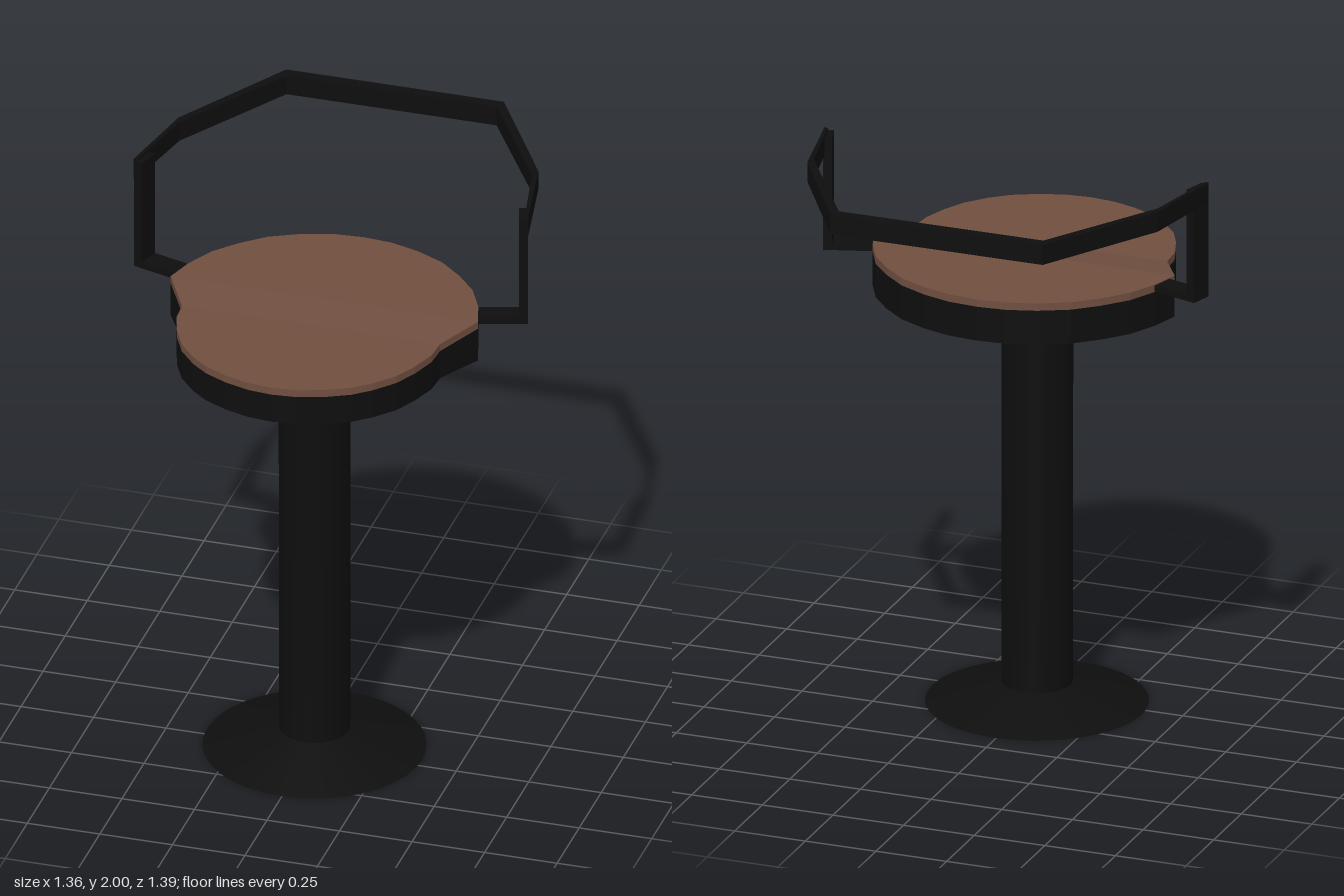
import * as THREE from 'three';

const black = new THREE.MeshStandardMaterial({ color: 0x0e0e0e, flatShading: true });
const blackSmooth = new THREE.MeshStandardMaterial({ color: 0x0e0e0e });
const brown = new THREE.MeshStandardMaterial({ color: 0x6f4e3f, flatShading: true });
const AXIS_Z = 0.21; // pedestal axis

// Skin a row of equal-length rings, counter-clockwise about the direction of travel
function loft(rings) {
  const n = rings[0].length, pos = rings.flat(2), index = [];
  for (let i = 0; i < rings.length - 1; i++) {
    for (let j = 0; j < n; j++) {
      const k = (j + 1) % n;
      const a = i * n + j, b = i * n + k, c = b + n, d = a + n;
      index.push(a, b, c, a, c, d);
    }
  }
  const end = (rings.length - 1) * n;
  for (let j = 1; j < n - 1; j++) {
    index.push(0, j + 1, j, end, end + j, end + j + 1);
  }
  const g = new THREE.BufferGeometry();
  g.setAttribute('position', new THREE.Float32BufferAttribute(pos, 3));
  g.setIndex(index);
  const flat = g.toNonIndexed();
  flat.computeVertexNormals();
  return flat;
}

export function createModel() {
  const model = new THREE.Group();
  const add = (name, geometry, material) => {
    const mesh = new THREE.Mesh(geometry, material);
    mesh.name = name;
    model.add(mesh);
    return mesh;
  };

  // Foot and column; the upper column swells slightly forward
  add('foot', new THREE.CylinderGeometry(0.12, 0.37, 0.07, 40), blackSmooth)
    .position.set(0, 0.035, AXIS_Z);
  const column = new THREE.CylinderGeometry(0.118, 0.118, 1.36, 32, 2);
  const p = column.attributes.position;
  for (let i = 0; i < p.count; i++) {
    if (p.getY(i) > 0.5 && p.getZ(i) > 0) p.setZ(i, p.getZ(i) * 1.15);
  }
  column.computeVertexNormals();
  add('column', column, blackSmooth).position.set(0, 0.73, AXIS_Z);

  // Half outline of the seat, back to front: [half width, z]
  const outline = [
    [0.001, -0.338], [0.1, -0.33], [0.2, -0.3], [0.3, -0.25], [0.38, -0.18],
    [0.45, -0.1], [0.5, 0], [0.53, 0.1], [0.445, 0.25], [0.44, 0.33],
    [0.41, 0.42], [0.37, 0.5], [0.31, 0.57], [0.25, 0.62], [0.17, 0.66],
    [0.085, 0.687], [0.001, 0.695],
  ];
  // The seat steps down a little ahead of the wide point
  const rimTop = (z) => 1.595 - 0.018 * THREE.MathUtils.clamp((z - 0.1) / 0.15, 0, 1);
  const slab = (bottom, top) => loft(outline.map(([x, z]) => [
    [-x, bottom(z), z], [x, bottom(z), z], [x, top(z), z], [-x, top(z), z],
  ]));
  add('seatRim', slab(() => 1.475, rimTop), black);
  add('seatPad', slab(rimTop, (z) => rimTop(z) + 0.026), brown);

  // Underside tapering down to the column
  const loop = [...outline].reverse().concat(
    outline.slice(1, -1).map(([x, z]) => [-x, z]));
  add('seatUnderside', loft([
    loop.map(([x, z]) => {
      const s = 0.12 / Math.hypot(x, z - AXIS_Z);
      return [x * s, 1.4, AXIS_Z + (z - AXIS_Z) * s];
    }),
    loop.map(([x, z]) => [x, 1.475, z]),
  ]), black);

  // Bracket and post on each side
  for (const [side, label] of [[1, 'left'], [-1, 'right']]) {
    const bracket = add(label + 'Bracket', new THREE.BoxGeometry(0.195, 0.022, 0.078), black);
    bracket.position.set(side * 0.575, 1.607, 0.016);
    bracket.rotation.y = side * 0.297;
    const post = add(label + 'Post', new THREE.BoxGeometry(0.03, 0.395, 0.078), black);
    post.position.set(side * 0.653, 1.7935, -0.008);
    post.rotation.y = side * 0.297;
  }

  // Back rail bent around the seat: [outer x, outer z, inner x, inner z]
  const half = [
    [0.68, 0.025, 0.667, 0.022],
    [0.62, -0.285, 0.608, -0.255],
    [0.375, -0.7, 0.362, -0.66],
  ];
  const path = half.concat([...half].reverse().map(([a, b, c, d]) => [-a, b, -c, d]));
  add('backRail', loft(path.map(([ox, oz, ix, iz]) => [
    [ix, 1.93, iz], [ix, 2, iz], [ox, 2, oz], [ox, 1.93, oz],
  ])), black);

  return model;
}
